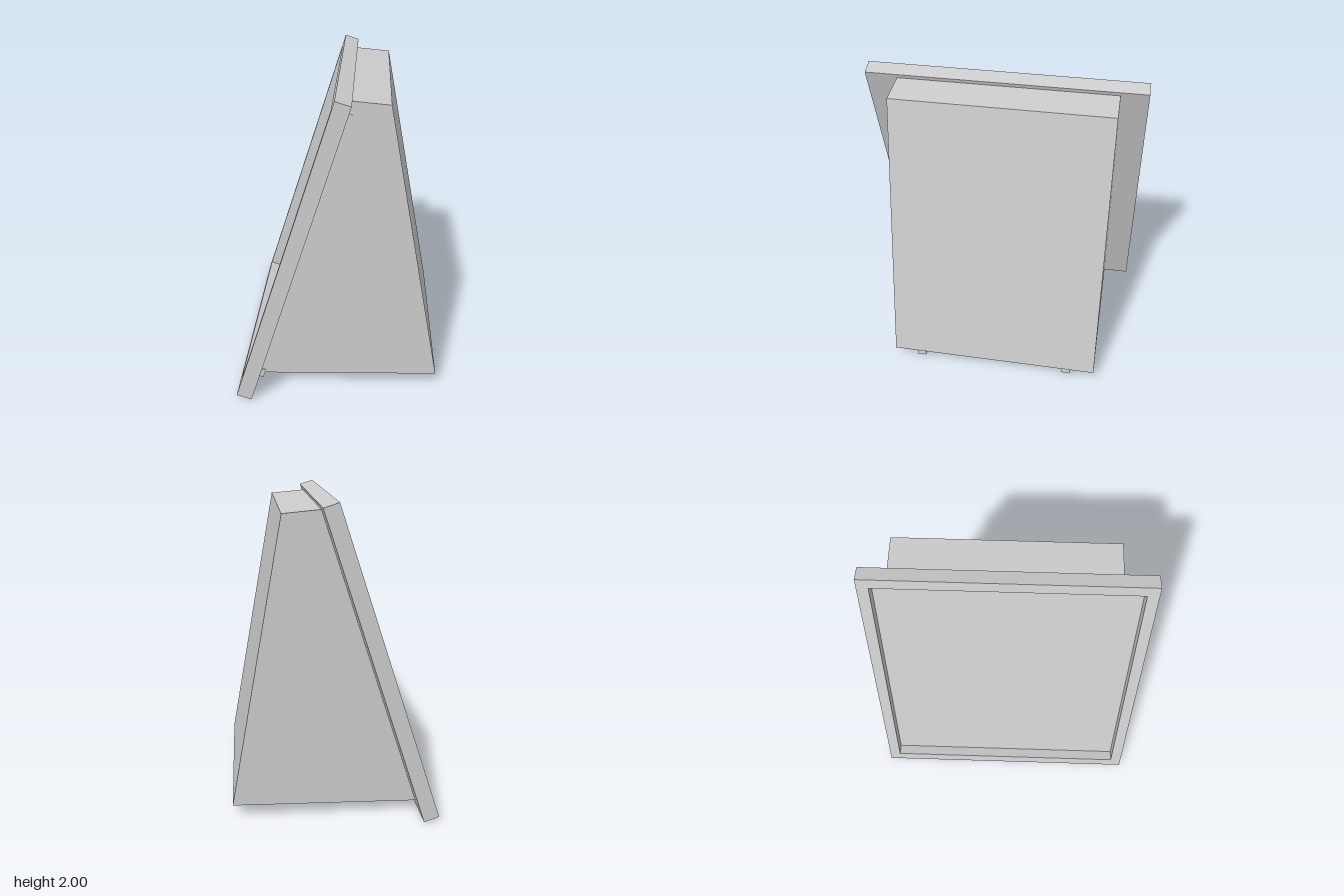
import * as THREE from 'three';

const material = new THREE.MeshStandardMaterial({ color: 0xcccccc, flatShading: true });

function addMesh(parent, name, geometry) {
  const mesh = new THREE.Mesh(geometry, material);
  mesh.name = name;
  parent.add(mesh);
  return mesh;
}

// Side profile in x/y, extruded between two z values
function prism(points, z0, z1) {
  const shape = new THREE.Shape(points.map(([x, y]) => new THREE.Vector2(x, y)));
  return new THREE.ExtrudeGeometry(shape, { depth: z1 - z0, bevelEnabled: false }).translate(0, 0, z0);
}

export function createModel() {
  const model = new THREE.Group();
  model.name = 'wedgeDisplay';

  // Leaning display: local y runs up the slope, local x runs toward the housing
  const display = new THREE.Group();
  display.name = 'display';
  display.position.set(-0.648, 0.031, 0);
  display.rotation.z = -0.314;
  model.add(display);

  const length = 2.068, halfWidth = 0.893, thickness = 0.1, border = 0.074, recess = 0.073;
  const outline = new THREE.Shape();
  outline.moveTo(-halfWidth, 0).lineTo(halfWidth, 0).lineTo(halfWidth, length).lineTo(-halfWidth, length).closePath();
  const opening = new THREE.Path();
  const inner = halfWidth - border;
  opening.moveTo(-inner, border).lineTo(-inner, length - border)
    .lineTo(inner, length - border).lineTo(inner, border).closePath();
  outline.holes.push(opening);
  addMesh(display, 'displayFrame',
    new THREE.ExtrudeGeometry(outline, { depth: thickness, bevelEnabled: false }).rotateY(Math.PI / 2));

  // Recessed panel filling the frame opening
  const panel = addMesh(display, 'displayPanel',
    new THREE.BoxGeometry(thickness - recess, length - 2 * border, 2 * inner));
  panel.position.set((thickness + recess) / 2, length / 2, 0);

  // Tapered housing behind the display
  addMesh(model, 'housing',
    prism([[-0.535, 0.065], [0.642, 0.087], [0.312, 1.92], [0.075, 1.942]], -0.718, 0.687));

  // Small clips on the housing side, next to the display
  for (const [name, y] of [['lowerClip', 0.075], ['upperClip', 1.935]]) {
    const clip = addMesh(display, name, new THREE.BoxGeometry(0.04, 0.06, 0.012));
    clip.position.set(thickness + 0.02, y, 0.686);
  }

  // Wedge-shaped runners under the housing
  for (const [name, z] of [['leftRunner', 0.505], ['rightRunner', -0.525]]) {
    addMesh(model, name,
      prism([[-0.46, 0.066], [0.627, 0.037], [0.614, 0.092], [-0.4, 0.075]], z - 0.03, z + 0.03));
  }

  return model;
}
